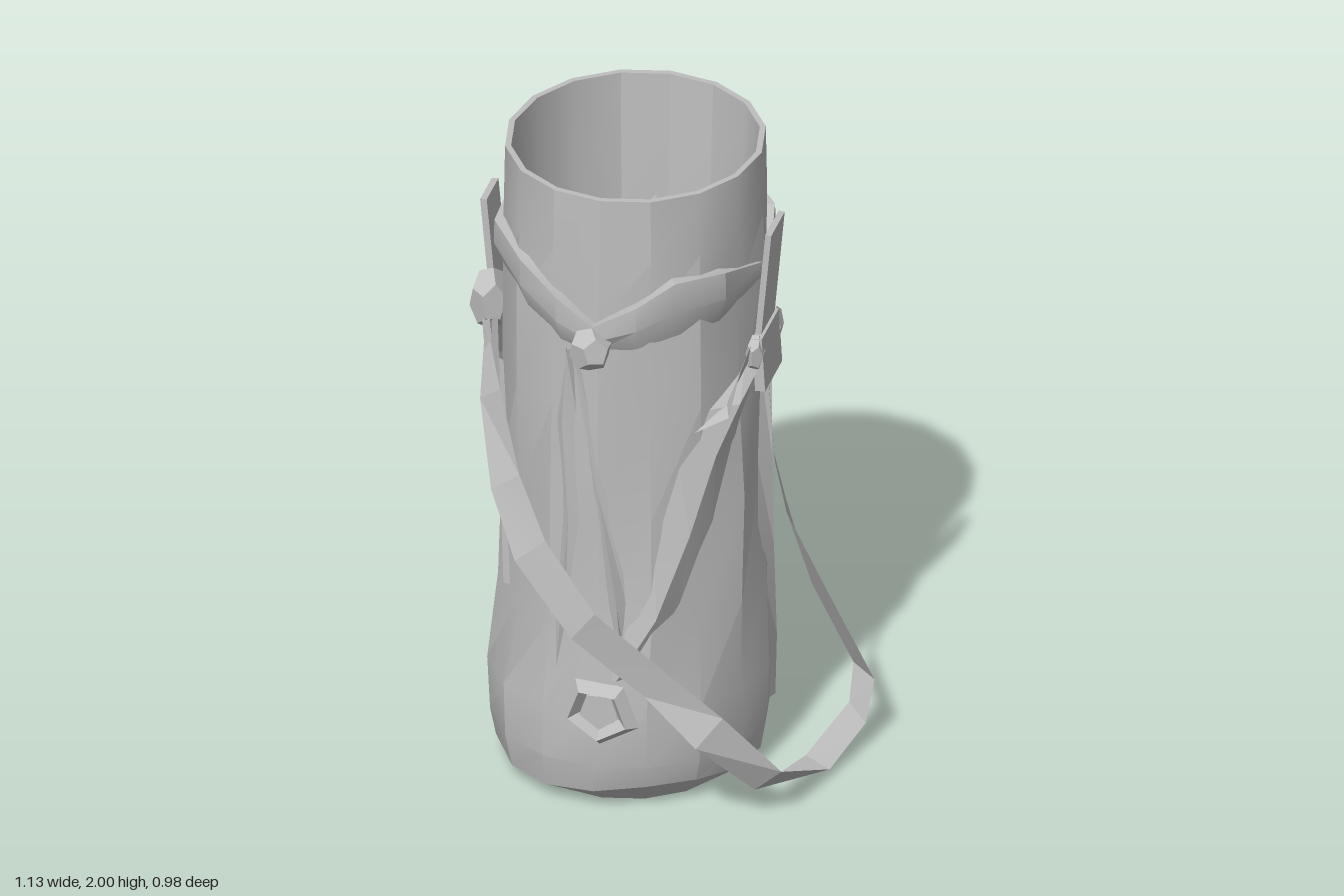
import * as THREE from 'three';
import { toCreasedNormals } from 'three/addons/utils/BufferGeometryUtils.js';

const SIDES = 16, CX = -0.102, CZ = -0.033;

export function createModel() {
  const group = new THREE.Group();
  const grey = new THREE.MeshStandardMaterial({ color: 0xbebebe, side: THREE.DoubleSide });
  grey.name = 'plain grey leather';

  const add = (name, geo, crease = 0.45) => {
    const mesh = new THREE.Mesh(toCreasedNormals(geo, crease), grey);
    mesh.name = name;
    group.add(mesh);
  };

  // Joins rows of points into a skin; closed wraps each row round on itself
  const skin = (rows, closed, capEnds = false) => {
    const n = rows[0].length, pos = rows.flat(2), idx = [];
    for (let j = 0; j < rows.length - 1; j++) {
      for (let i = 0; i < (closed ? n : n - 1); i++) {
        const k = (i + 1) % n, a = j * n + i, b = j * n + k;
        idx.push(a, b, b + n, a, b + n, a + n);
      }
    }
    if (capEnds) {
      const last = (rows.length - 1) * n;
      for (let i = 1; i < n - 1; i++) idx.push(0, i + 1, i, last, last + i, last + i + 1);
    }
    const geo = new THREE.BufferGeometry();
    geo.setAttribute('position', new THREE.Float32BufferAttribute(pos, 3));
    geo.setIndex(idx);
    geo.computeVertexNormals();
    return geo;
  };

  // Point around the body axis; angle 0 faces the front, 90 the model's left
  const around = (deg, y, r) => {
    const a = deg * Math.PI / 180;
    return [CX + Math.sin(a) * r * 0.975, y, CZ + Math.cos(a) * r * 1.035];
  };

  // Body: outer wall up, over the rim, and down inside to the floor [y, radius, dent, shift in x]
  const profile = [[0, 0.325, 0, -0.01], [0.06, 0.398, 0, -0.015], [0.15, 0.418, 0.003, -0.016],
    [0.32, 0.422, 0.006, -0.016], [0.6, 0.397, 0.01, 0], [0.95, 0.395, 0.012, 0], [1.3, 0.394, 0.011, -0.003],
    [1.6, 0.394, 0.008, -0.003], [1.8, 0.39, 0, 0], [2, 0.386, 0, 0], [2, 0.368, 0, 0],
    [1.6, 0.352, 0, 0], [0.1, 0.332, 0, 0]];
  const rows = profile.map(([y, r, dent, shift], j) =>
    Array.from({ length: SIDES }, (_, i) => {
      const wave = Math.sin(i * 2.6 + j * 1.3) + 0.5 * Math.sin(i * 4.1 - j * 2.2);
      const lift = j === 1 ? 0.02 * Math.sin(i * 1.2) : 0;
      const [px, py, pz] = around(i * 360 / SIDES, y + lift, r + dent * wave * 0.8);
      return [px + shift, py, pz];
    }));
  add('body', skin(rows, true, true), 0.4);

  // Collar bands: two scarves sagging to a knot at the front and the back
  const scarf = (name, list) => add(name, skin(list.flatMap(([deg, y, h], i) => {
    const r = i === 0 || i === list.length - 1 ? 0.4 : 0.42;
    return [[around(deg, y - h, r - 0.03), around(deg, y - h * 0.5, r + 0.002),
      around(deg, y, r), around(deg, y, 0.375)]];
  }), false), 0.5);
  scarf('frontCollarBand', [[-100, 1.77, 0.15], [-65, 1.77, 0.15], [-38, 1.74, 0.16], [-18, 1.67, 0.15],
    [-2, 1.6, 0.1], [16, 1.67, 0.15], [32, 1.74, 0.19], [55, 1.73, 0.17], [85, 1.66, 0.08]]);
  scarf('backCollarBand', [[100, 1.64, 0.05], [118, 1.72, 0.14], [142, 1.73, 0.2], [162, 1.7, 0.2],
    [180, 1.62, 0.16], [198, 1.68, 0.2], [218, 1.72, 0.19], [242, 1.73, 0.15], [262, 1.76, 0.12]]);

  // Faceted knots pressed against the body
  const knot = (name, [x, y, z], [sx, sy, sz], turn = 0) => {
    const geo = new THREE.DodecahedronGeometry(1, 0).rotateZ(turn).scale(sx, sy, sz).translate(x, y, z);
    add(name, geo, 0.05);
  };
  knot('frontCollarKnot', [-0.12, 1.53, 0.405], [0.065, 0.07, 0.052], 0.3);
  knot('backCollarKnot', [-0.13, 1.56, -0.44], [0.08, 0.11, 0.06], 0.5);
  knot('rightKnot', [-0.51, 1.46, 0.06], [0.06, 0.1, 0.07], 0.2);
  knot('leftKnot', [0.285, 1.39, -0.12], [0.03, 0.065, 0.045]);
  knot('leftKnot', [0.285, 1.4, 0.075], [0.028, 0.06, 0.045]);

  // Square lower fastening: a rough ring with a sunken centre
  const fastening = new THREE.TorusGeometry(0.092, 0.032, 4, 5).scale(1, 0.88, 1.2)
    .rotateZ(-0.35).translate(-0.085, 0.36, 0.43);
  add('lowerFastening', fastening, 0.05);
  const button = new THREE.CylinderGeometry(0.06, 0.08, 0.05, 5).rotateX(Math.PI / 2)
    .translate(-0.085, 0.36, 0.415);
  add('lowerFasteningButton', button, 0.05);

  // Side tabs hanging from the collar, with the buckle plate on the left
  const tab = (name, [w, h, d], [x, y, z], tilt) => {
    const geo = new THREE.BoxGeometry(w, h, d).rotateZ(tilt).translate(x, y, z);
    add(name, geo, 0.1);
  };
  tab('leftTab', [0.018, 0.34, 0.15], [0.302, 1.61, -0.02], -0.09);
  tab('leftBuckle', [0.03, 0.17, 0.19], [0.296, 1.365, -0.01], 0.06);
  tab('rightTab', [0.02, 0.33, 0.13], [-0.518, 1.61, -0.015], 0.09);
  tab('rightTabEnd', [0.024, 0.16, 0.12], [-0.5, 1.34, 0.06], 0.08);

  // Flat ribbons: each point is a centre and a half-width vector
  const ribbon = (name, pts) => add(name, skin(pts.map(([x, y, z, a, b, c]) =>
    [[x - a, y - b, z - c], [x + a, y + b, z + c]]), false), 0.15);

  // Long carrying strap, crossing the front and looping out at the left
  ribbon('carryingStrap', [
    [-0.495, 1.42, 0.1, 0.03, 0.03, 0.045], [-0.465, 1.24, 0.23, 0.035, 0.03, 0.02],
    [-0.385, 1.03, 0.36, 0.045, 0.035, 0.01], [-0.29, 0.86, 0.44, 0.045, 0.04, 0],
    [-0.12, 0.66, 0.487, 0.035, 0.045, 0], [0.08, 0.47, 0.435, 0.03, 0.045, 0],
    [0.24, 0.325, 0.425, 0.035, 0.045, -0.02], [0.385, 0.13, 0.31, 0.04, 0.035, 0],
    [0.455, 0.045, 0.02, 0.036, -0.018, 0], [0.515, 0.1, -0.2, 0.03, -0.02, 0.02],
    [0.525, 0.22, -0.235, 0.038, -0.01, 0.025], [0.415, 0.52, -0.155, 0.03, 0.01, 0.03],
    [0.335, 0.82, -0.08, 0.012, 0, 0.04], [0.312, 1.0, -0.035, 0.008, 0, 0.025],
    [0.305, 1.3, 0.01, 0.004, 0, 0.015]]);

  // Gathered cloth folds that taper down the body [angle, y, half-width in degrees, height factor]
  const fold = (name, list, height = 0.03) => add(name, skin(list.map(([deg, y, w, k = 1]) => [
    around(deg - w, y, 0.385), around(deg, y, 0.398 + height * k), around(deg + w, y, 0.385)]), false), 0.2);
  fold('leftDiagonalFold', [[82, 1.38, 9], [62, 1.28, 16, 1.2], [50, 1.14, 15], [38, 0.9, 14],
    [24, 0.64, 11], [8, 0.44, 6, 0.8]], 0.024);
  fold('leftBackFold', [[98, 1.42, 4], [114, 1.36, 9], [126, 1.22, 11], [131, 0.9, 9], [136, 0.5, 3, 0.5]], 0.014);
  fold('leftVerticalFold', [[91, 1.3, 2], [91, 1.0, 6], [94, 0.7, 9], [106, 0.35, 9], [110, 0.14, 5, 0.8]], 0.018);
  fold('frontVerticalFold', [[-14, 1.5, 1.5], [-16, 1.25, 6], [-13, 0.95, 8], [-20, 0.4, 2, 0.5]], 0.012);
  fold('frontCrossFold', [[-12, 1.5, 2], [0, 1.05, 6], [8, 0.68, 4], [10, 0.5, 1, 0.5]], 0.01);
  fold('rightFold', [[-70, 1.3, 6], [-62, 1.0, 7], [-58, 0.6, 3, 0.5]], 0.012);
  fold('upperBackFold', [[182, 1.45, 2], [186, 1.25, 7], [188, 1.0, 2, 0.5]], 0.01);
  fold('lowerBackFold', [[158, 0.9, 1, 0.5], [165, 0.7, 7], [176, 0.48, 4]], 0.014);

  // Small pointed flap beside the left buckle
  ribbon('leftFlap', [[0.275, 1.41, 0.1, 0.005, 0.03, 0.01], [0.25, 1.34, 0.19, 0.02, 0.055, 0],
    [0.205, 1.25, 0.265, 0.045, 0.02, -0.02]]);

  // Loose flap low on the back
  add('lowerBackFlap', skin([[around(168, 0.31, 0.42), around(185, 0.31, 0.435), around(203, 0.3, 0.425)],
    [around(166, 0.55, 0.4), around(180, 0.54, 0.412), around(198, 0.48, 0.405)]], false), 0.1);

  return group;
}
